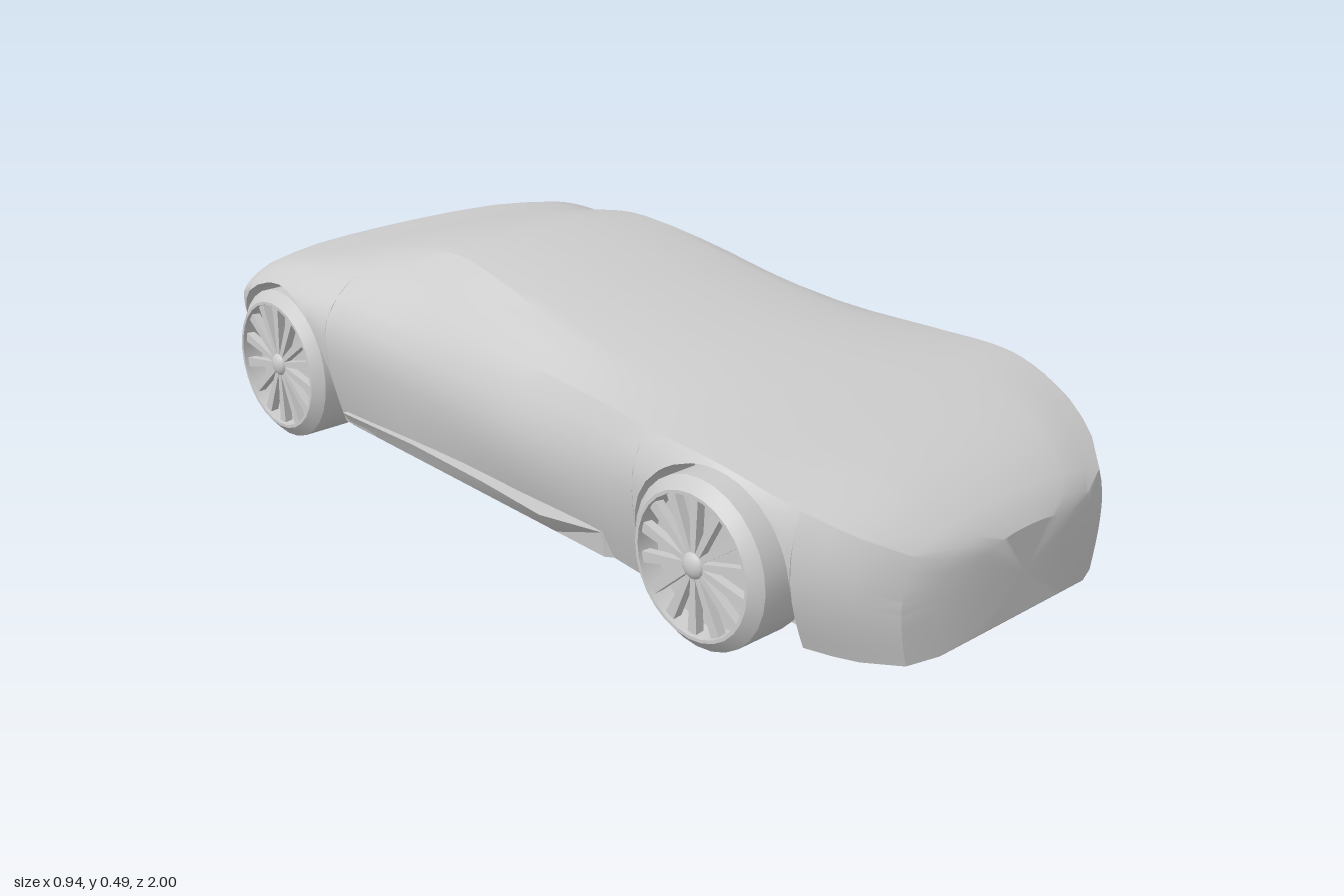
import * as THREE from 'three';
import { toCreasedNormals } from 'three/addons/utils/BufferGeometryUtils.js';

const material = new THREE.MeshStandardMaterial({ color: 0xcccccc });

// Wheel centres, tyre radii and arch radii
const AXLES = [
  { name: 'front', z: 0.635, r: 0.162, arch: 0.176 },
  { name: 'rear', z: -0.705, r: 0.17, arch: 0.186 },
];

// Lower body stations: z, floor y, floor half width, widest half width, its y
const LOWER = [
  [1.0, 0.05, 0.12, 0.12, 0.13], [0.985, 0.035, 0.21, 0.22, 0.13],
  [0.96, 0.028, 0.27, 0.29, 0.15], [0.9, 0.03, 0.32, 0.35, 0.17],
  [0.8, 0.04, 0.37, 0.41, 0.2], [0.65, 0.05, 0.4, 0.453, 0.26],
  [0.46, 0.05, 0.4, 0.442, 0.25], [0.3, 0.055, 0.39, 0.425, 0.22],
  [0.1, 0.06, 0.39, 0.428, 0.22], [-0.1, 0.06, 0.39, 0.422, 0.23],
  [-0.3, 0.065, 0.4, 0.428, 0.25], [-0.5, 0.075, 0.41, 0.45, 0.28],
  [-0.7, 0.085, 0.41, 0.465, 0.32], [-0.85, 0.1, 0.39, 0.448, 0.3],
  [-0.95, 0.125, 0.32, 0.385, 0.25], [-0.985, 0.16, 0.27, 0.31, 0.225],
  [-1.0, 0.19, 0.2, 0.22, 0.22],
];
// Upper body stations: z, shoulder half width, shoulder y, roof half width, roof edge y, crown y
const UPPER = [
  [1.0, 0.11, 0.2, 0.07, 0.215, 0.22], [0.985, 0.2, 0.215, 0.13, 0.235, 0.242],
  [0.96, 0.27, 0.235, 0.17, 0.258, 0.268], [0.9, 0.33, 0.265, 0.21, 0.294, 0.303],
  [0.8, 0.385, 0.305, 0.25, 0.328, 0.336], [0.65, 0.415, 0.346, 0.28, 0.356, 0.362],
  [0.46, 0.405, 0.352, 0.29, 0.368, 0.382], [0.3, 0.385, 0.355, 0.3, 0.378, 0.402],
  [0.1, 0.375, 0.362, 0.29, 0.412, 0.438], [-0.1, 0.365, 0.372, 0.27, 0.452, 0.474],
  [-0.3, 0.355, 0.388, 0.25, 0.474, 0.49], [-0.5, 0.365, 0.403, 0.25, 0.442, 0.458],
  [-0.7, 0.385, 0.395, 0.26, 0.408, 0.414], [-0.85, 0.375, 0.36, 0.25, 0.38, 0.387],
  [-0.95, 0.33, 0.3, 0.22, 0.322, 0.328], [-0.985, 0.28, 0.258, 0.18, 0.276, 0.282],
  [-1.0, 0.2, 0.235, 0.14, 0.246, 0.25],
];

// Smooth interpolation of one table at z
function sample(table, z) {
  let i = 0;
  while (i < table.length - 2 && z < table[i + 1][0]) i++;
  const a = table[i], b = table[i + 1];
  const p = table[Math.max(i - 1, 0)], n = table[Math.min(i + 2, table.length - 1)];
  const h = b[0] - a[0], t = (z - a[0]) / h, t2 = t * t, t3 = t2 * t;
  return a.slice(1).map((v, k) => {
    k++;
    const ma = (b[k] - p[k]) / (b[0] - p[0]) * h, mb = (n[k] - a[k]) / (n[0] - a[0]) * h;
    return (2 * t3 - 3 * t2 + 1) * v + (t3 - 2 * t2 + t) * ma + (3 * t2 - 2 * t3) * b[k] + (t3 - t2) * mb;
  });
}

// Right half of one section, from floor centre to crown, cut up to the wheel arch
function halfSection(z) {
  const [floor, wFloor, wMax, yMax] = sample(LOWER, z);
  const [wSh, ySh, wRoof, yRoof, crown] = sample(UPPER, z);
  let low = floor;
  for (const { z: c, r, arch } of AXLES) {
    const d = Math.abs(z - c);
    if (d <= arch) low = r + Math.sqrt(Math.max(0, arch * arch - d * d));
  }
  low = Math.min(low, ySh - 0.005);
  const sideX = (y) => y < yMax
    ? wFloor + (wMax - wFloor) * Math.sin((Math.PI / 2) * (y - floor) / (yMax - floor))
    : wSh + (wMax - wSh) * (1 - ((y - yMax) / (ySh - yMax)) ** 2);
  const well = Math.min(0.32, wFloor * 0.85);
  const pts = [[0, floor], [well, floor], [well, low]];
  for (let k = 0; k <= 8; k++) {
    const y = low + (ySh - low) * k / 8;
    pts.push([sideX(y), y]);
  }
  pts.push([(wSh + wRoof) / 2, (ySh + yRoof) / 2 + 0.002]);
  for (const f of [1, 0.88, 0.6, 0.3, 0]) pts.push([wRoof * f, crown - (crown - yRoof) * f ** 2.5]);
  return pts;
}

// Body shell lofted through the sections
function bodyGeometry() {
  const zs = LOWER.map((row) => row[0]);
  for (let z = 0.86; z > -0.92; z -= 0.08) zs.push(z);
  for (const { z, arch } of AXLES) {
    for (let k = 0; k <= 14; k++) zs.push(z + arch * 0.9999 * Math.cos(k * Math.PI / 14));
    zs.push(z + arch + 0.001, z - arch - 0.001);
  }
  zs.sort((a, b) => b - a);
  const pos = [], idx = [];
  let n = 0;
  for (const z of zs) {
    const half = halfSection(z);
    const ring = half.concat(half.slice(1, -1).reverse().map(([x, y]) => [-x, y]));
    n = ring.length;
    for (const [x, y] of ring) pos.push(x, y, z);
  }
  for (let i = 0; i < zs.length - 1; i++) {
    for (let j = 0; j < n; j++) {
      const a = i * n + j, b = i * n + (j + 1) % n;
      idx.push(a, a + n, b + n, a, b + n, b);
    }
  }
  // Nose and tail caps
  const last = (zs.length - 1) * n, c = zs.length * n;
  pos.push(0, 0.13, 1, 0, 0.22, -1);
  for (let j = 0; j < n; j++) {
    const k = (j + 1) % n;
    idx.push(c, j, k, c + 1, last + k, last + j);
  }
  const g = new THREE.BufferGeometry();
  g.setAttribute('position', new THREE.Float32BufferAttribute(pos, 3));
  g.setIndex(idx);
  return toCreasedNormals(g, 0.45);
}

function part(name, geometry) {
  const m = new THREE.Mesh(geometry, material);
  m.name = name;
  return m;
}

// Wheel on the +x side, centred on its axle
function makeWheel(name, r) {
  const wheel = new THREE.Group();
  wheel.name = name;
  const profile = [[0, 0.335], [0.94, 0.335], [1, 0.337], [1, 0.447], [0.94, 0.456], [0.86, 0.468],
    [0.82, 0.468], [0.79, 0.425], [0, 0.42]].map(([f, x]) => new THREE.Vector2(f * r, x));
  const tyre = part('tyre', toCreasedNormals(new THREE.LatheGeometry(profile, 28), 0.4));
  tyre.rotation.z = -Math.PI / 2;
  wheel.add(tyre);

  // Tapered spokes, drawn along +y and turned to face +x
  const blade = new THREE.Shape([[-0.005, 0.015], [0.005, 0.015], [0.011, r * 0.82], [-0.011, r * 0.82]]
    .map(([x, y]) => new THREE.Vector2(x, y)));
  const spokeGeometry = new THREE.ExtrudeGeometry(blade, { depth: 0.018, bevelEnabled: false });
  spokeGeometry.rotateY(Math.PI / 2).translate(0.442, 0, 0);
  for (let k = 0; k < 14; k++) {
    const spoke = part('spoke', spokeGeometry);
    spoke.rotation.x = (k / 14) * Math.PI * 2;
    wheel.add(spoke);
  }
  const hub = part('hub', new THREE.SphereGeometry(0.026, 14, 8));
  hub.scale.x = 0.6;
  hub.position.x = 0.456;
  wheel.add(hub);
  return wheel;
}

// Flared sill along the side, outline in plan pulled in towards its top
function sillGeometry() {
  const plan = [[0.36, 0.4], [0.41, 0.34], [0.447, 0.2], [0.432, 0], [0.423, -0.25], [0.43, -0.5], [0.36, -0.5]];
  const shape = new THREE.Shape(plan.map(([x, z]) => new THREE.Vector2(x, -z)));
  const g = new THREE.ExtrudeGeometry(shape, { depth: 0.045, bevelEnabled: false });
  g.rotateX(-Math.PI / 2);
  const p = g.attributes.position;
  for (let i = 0; i < p.count; i++) {
    const top = p.getY(i) > 0.02;
    p.setY(i, top ? 0.105 : 0.06 - p.getZ(i) * 0.02);
    if (!top) p.setX(i, Math.min(p.getX(i), 0.405));
  }
  return toCreasedNormals(g, 0.4);
}

export function createModel() {
  const car = new THREE.Group();
  car.name = 'car';
  car.add(part('body', bodyGeometry()));

  const sill = sillGeometry();
  for (const [side, turn] of [['left', 0], ['right', Math.PI]]) {
    for (const { name, z, r } of AXLES) {
      const wheel = makeWheel(`${name} ${side} wheel`, r);
      wheel.position.set(0, r, z);
      wheel.rotation.y = turn;
      car.add(wheel);
    }
    // Mirror the sill for the right side
    const s = part(`${side} sill`, sill);
    if (turn) s.scale.x = -1;
    car.add(s);
  }
  return car;
}
